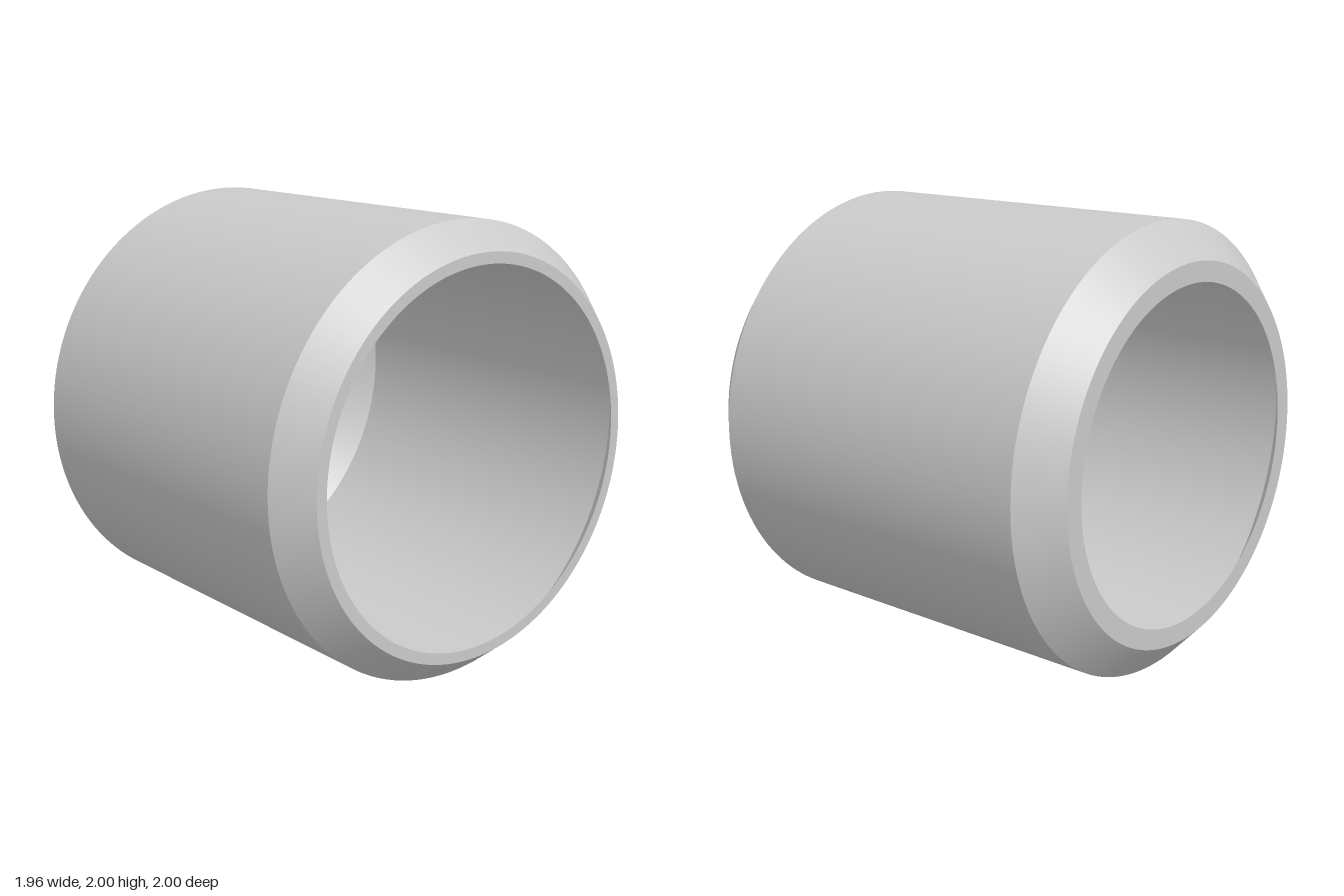
import * as THREE from 'three';

const SEGMENTS = 128;

export function createModel() {
  const model = new THREE.Group();
  model.name = 'bevelledSleeve';

  const steel = new THREE.MeshStandardMaterial({ color: 0xcacaca, side: THREE.DoubleSide });
  steel.name = 'plain grey metal';

  // Open thin shell: each span [radius, x] -> [radius, x] is its own surface, so edges stay crisp
  const spans = [
    ['leftEndRing', 0.75, -0.98, 0.84, -0.98],
    ['leftBevel', 0.84, -0.98, 1.0, -0.83],
    ['outerWall', 1.0, -0.83, 1.0, 0.83],
    ['rightBevel', 1.0, 0.83, 0.88, 0.98],
    ['rightEndRing', 0.88, 0.98, 0.83, 0.98],
  ];

  for (const [name, r1, x1, r2, x2] of spans) {
    const profile = [new THREE.Vector2(r1, x1), new THREE.Vector2(r2, x2)];
    const geometry = new THREE.LatheGeometry(profile, SEGMENTS);
    geometry.rotateZ(-Math.PI / 2); // lathe axis becomes +x
    geometry.translate(0, 1, 0);
    const mesh = new THREE.Mesh(geometry, steel);
    mesh.name = name;
    model.add(mesh);
  }

  return model;
}
